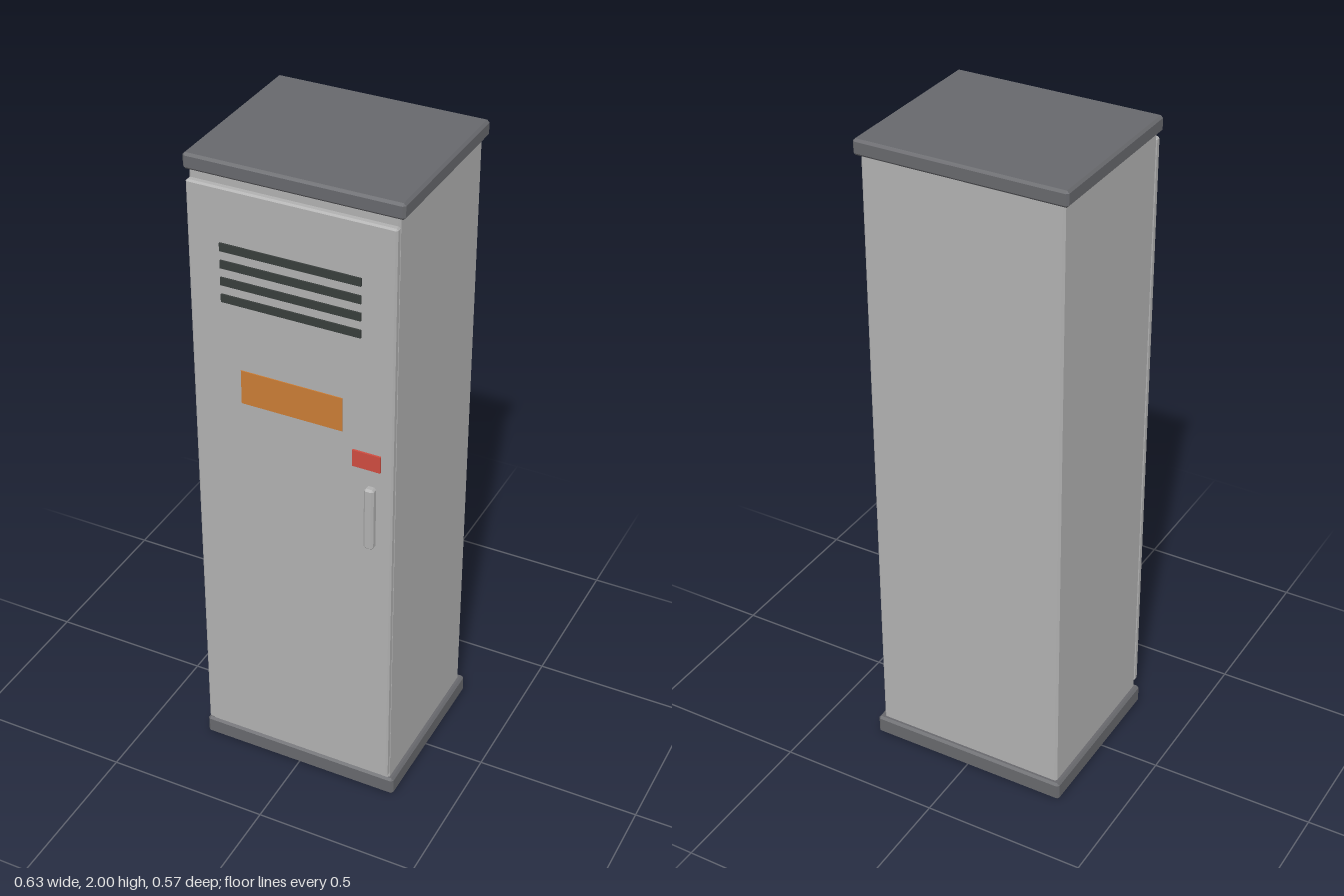
import * as THREE from 'three';
import { ConvexGeometry } from 'three/addons/geometries/ConvexGeometry.js';

function material(name, color) {
  const m = new THREE.MeshStandardMaterial({ color });
  m.name = name;
  return m;
}

// Box between two corners with all edges chamfered by c
function chamferBox(min, max, c) {
  const half = min.map((v, i) => (max[i] - v) / 2);
  const mid = min.map((v, i) => (max[i] + v) / 2);
  const points = [];
  for (const sx of [-1, 1]) for (const sy of [-1, 1]) for (const sz of [-1, 1]) {
    for (let face = 0; face < 3; face++) {
      const p = [sx, sy, sz].map((s, i) => mid[i] + s * (half[i] - (i === face ? 0 : c)));
      points.push(new THREE.Vector3(...p));
    }
  }
  return new ConvexGeometry(points);
}

export function createModel() {
  const locker = new THREE.Group();
  locker.name = 'locker';

  const metal = material('grey metal', 0xb0b0b0);
  const trim = material('dark grey trim', 0x67686c);
  const slot = material('vent black', 0x383d3b);
  const orange = material('orange label', 0xc97c35);
  const red = material('red tag', 0xcd4c40);

  const add = (name, geometry, mat) => {
    const mesh = new THREE.Mesh(geometry, mat);
    mesh.name = name;
    locker.add(mesh);
    return mesh;
  };

  // Cabinet, with matching plinth and cap
  add('cabinet', chamferBox([-0.302, 0.04, -0.27], [0.302, 1.97, 0.243], 0.006), metal);
  add('base', chamferBox([-0.317, 0, -0.284], [0.317, 0.06, 0.25], 0.007), trim);
  add('cap', chamferBox([-0.317, 1.953, -0.284], [0.317, 2, 0.25], 0.007), trim);

  // Door and pull handle
  add('door', chamferBox([-0.303, 0.077, 0.238], [0.303, 1.932, 0.261], 0.005), metal);
  add('handle', chamferBox([0.225, 0.928, 0.256], [0.255, 1.13, 0.282], 0.006), metal);

  // Thin details on the door face
  const plate = (name, x, y, w, h, front, mat) => {
    const depth = 0.009;
    add(name, new THREE.BoxGeometry(w, h, depth), mat).position.set(x, y, front - depth / 2);
  };
  for (let i = 0; i < 4; i++) plate('ventSlot', 0, 1.759 - i * 0.0513, 0.412, 0.024, 0.266, slot);
  plate('nameLabel', 0, 1.338, 0.306, 0.105, 0.264, orange);
  plate('lockTag', 0.226, 1.211, 0.084, 0.052, 0.267, red);

  return locker;
}
